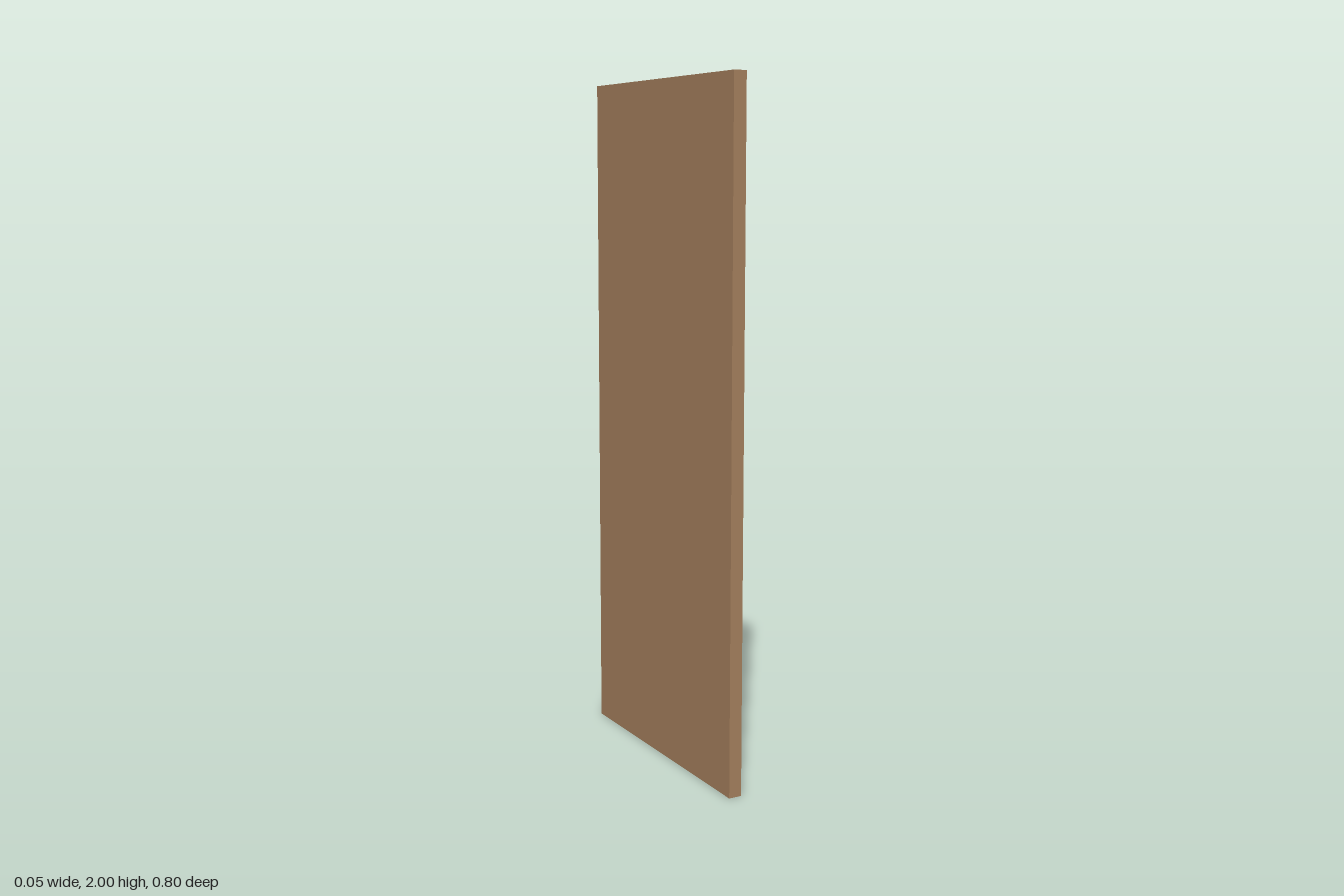
import * as THREE from 'three';

// Lofts a stack of rectangles [x, halfHeight, halfDepth] along x and caps both ends.
function loftRectangles(sections, centreY) {
  const rings = sections.map(([x, h, d]) => [
    [x, centreY - h, d], [x, centreY - h, -d], [x, centreY + h, -d], [x, centreY + h, d],
  ]);
  const positions = [];
  const quad = (a, b, c, d) => positions.push(...a, ...b, ...c, ...a, ...c, ...d);
  for (let r = 0; r < rings.length - 1; r++) {
    for (let i = 0; i < 4; i++) {
      const j = (i + 1) % 4;
      quad(rings[r][i], rings[r][j], rings[r + 1][j], rings[r + 1][i]);
    }
  }
  quad(...[...rings[0]].reverse());
  quad(...rings[rings.length - 1]);
  const geometry = new THREE.BufferGeometry();
  geometry.setAttribute('position', new THREE.Float32BufferAttribute(positions, 3));
  geometry.computeVertexNormals();
  return geometry;
}

export function createModel() {
  const model = new THREE.Group();
  model.name = 'door';

  const wood = new THREE.MeshStandardMaterial({ color: 0xa8825f, flatShading: true });
  const metal = new THREE.MeshStandardMaterial({ color: 0xcccccc });

  // Door leaf: flat on one side, sunken panel with a sloped border on the other
  const backX = -0.023, faceX = 0.016, panelX = -0.003;
  const leaf = new THREE.Mesh(loftRectangles([
    [backX, 1, 0.4],
    [faceX, 1, 0.4],
    [panelX, 0.96, 0.373],
  ], 1), wood);
  leaf.name = 'doorLeaf';
  model.add(leaf);

  // Small six-sided knob standing out of the sunken panel
  const knobTip = 0.022, knobBase = panelX - 0.003;
  const knobGeometry = new THREE.CylinderGeometry(0.0125, 0.0125, knobTip - knobBase, 6);
  knobGeometry.rotateZ(-Math.PI / 2);
  const knob = new THREE.Mesh(knobGeometry, metal);
  knob.name = 'knob';
  knob.position.set((knobTip + knobBase) / 2, 0.995, -0.312);
  model.add(knob);

  return model;
}
